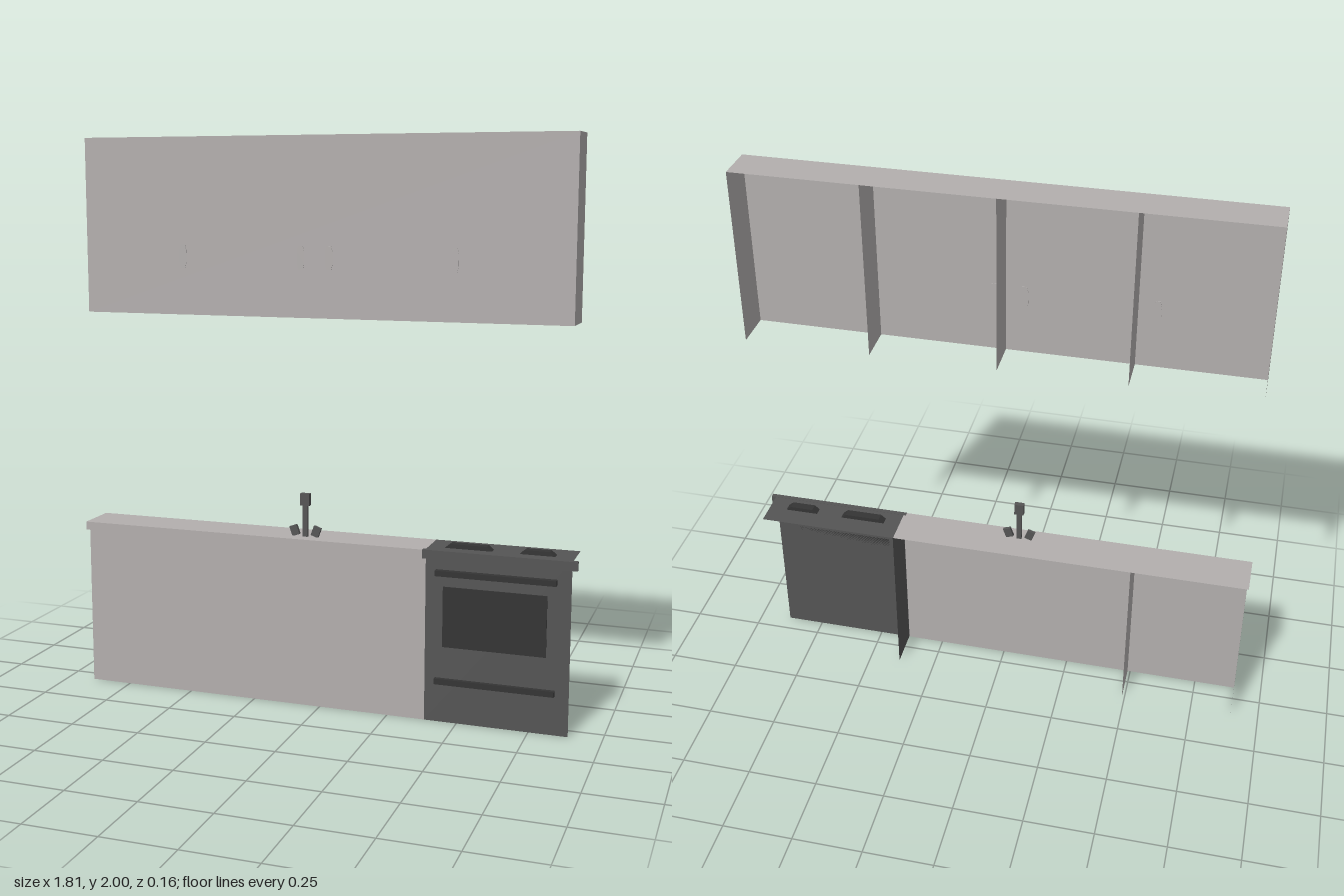
import * as THREE from 'three';

const make = (name, color, side = THREE.DoubleSide) => {
  const m = new THREE.MeshStandardMaterial({ color, side });
  m.name = name;
  return m;
};

export function createModel() {
  const cabinet = make('cabinetGrey', 0xb3afae);
  const steel = make('darkSteel', 0x555555);
  const black = make('ovenBlack', 0x343434);
  const BACK = -0.08, FRONT = 0.06, DEPTH = FRONT - BACK, MID = (FRONT + BACK) / 2;

  const root = new THREE.Group();
  root.name = 'kitchenette';
  const group = (name) => {
    const g = new THREE.Group();
    g.name = name;
    root.add(g);
    return g;
  };
  const add = (parent, name, geo, mat, x = 0, y = 0, z = 0) => {
    const mesh = new THREE.Mesh(geo, mat);
    mesh.name = name;
    mesh.position.set(x, y, z);
    parent.add(mesh);
    return mesh;
  };
  // Sheets: front (facing +z), wall (facing x) and deck (facing y)
  const front = (p, name, mat, x0, x1, y0, y1, z = FRONT) =>
    add(p, name, new THREE.PlaneGeometry(x1 - x0, y1 - y0), mat, (x0 + x1) / 2, (y0 + y1) / 2, z);
  const wall = (p, name, mat, x, y0, y1, z0 = BACK, z1 = FRONT) =>
    add(p, name, new THREE.PlaneGeometry(z1 - z0, y1 - y0).rotateY(Math.PI / 2), mat, x, (y0 + y1) / 2, (z0 + z1) / 2);
  const deck = (p, name, mat, x0, x1, y, z0 = BACK, z1 = FRONT) =>
    add(p, name, new THREE.PlaneGeometry(x1 - x0, z1 - z0).rotateX(-Math.PI / 2), mat, (x0 + x1) / 2, y, (z0 + z1) / 2);
  const box = (p, name, mat, x0, x1, y0, y1, z0, z1) =>
    add(p, name, new THREE.BoxGeometry(x1 - x0, y1 - y0, z1 - z0), mat, (x0 + x1) / 2, (y0 + y1) / 2, (z0 + z1) / 2);
  // Extruded outline, centred in depth
  const plate = (points, depth) => {
    const shape = new THREE.Shape(points.map(([x, y]) => new THREE.Vector2(x, y)));
    return new THREE.ExtrudeGeometry(shape, { depth, bevelEnabled: false }).translate(0, 0, -depth / 2);
  };

  // Wall cabinet: open at the back and underneath, split in four
  const upper = group('wallCabinet');
  front(upper, 'wallCabinetFront', cabinet, -0.88, 0.87, 1.385, 2);
  deck(upper, 'wallCabinetTop', cabinet, -0.88, 0.87, 2);
  for (let i = 0; i < 5; i++) wall(upper, 'wallCabinetPartition', cabinet, -0.88 + i * 0.4375, 1.385, 2);
  const grip = plate([[-0.008, -0.04], [0.008, -0.04], [0.013, -0.02], [0.013, 0.02],
    [0.008, 0.04], [-0.008, 0.04], [-0.013, 0.02], [-0.013, -0.02]], 0.004);
  for (const x of [-0.505, -0.067, 0.035, 0.472]) add(upper, 'doorHandle', grip, cabinet, x, 1.59, FRONT);

  // Base cabinet and worktop with a turned-down edge
  const base = group('baseCabinet');
  front(base, 'baseFront', cabinet, -0.9, 0.385, 0, 0.6);
  for (const x of [-0.9, -0.49]) wall(base, 'basePartition', cabinet, x, 0, 0.609);
  deck(base, 'worktop', cabinet, -0.907, 0.385, 0.61, BACK, 0.075);
  front(base, 'worktopFrontEdge', cabinet, -0.907, 0.385, 0.58, 0.61, 0.075);
  wall(base, 'worktopEndEdge', cabinet, -0.907, 0.58, 0.61, BACK, 0.075);

  // Cooker
  const cooker = group('cooker');
  front(cooker, 'cookerFront', steel, 0.385, 0.885, 0, 0.61);
  wall(cooker, 'cookerSide', steel, 0.386, 0, 0.61);
  deck(cooker, 'hob', steel, 0.385, 0.888, 0.61);
  box(cooker, 'hobFrontEdge', steel, 0.376, 0.905, 0.58, 0.611, FRONT, 0.076);
  box(cooker, 'ovenWindow', black, 0.447, 0.805, 0.27, 0.483, FRONT, 0.064);
  box(cooker, 'ovenHandle', black, 0.422, 0.837, 0.523, 0.542, FRONT, 0.082);
  box(cooker, 'drawerHandle', black, 0.422, 0.837, 0.138, 0.158, FRONT, 0.076);
  for (const [x, r] of [[0.525, 0.082], [0.762, 0.06]]) {
    add(cooker, 'burner', plate([[-r, 0], [r, 0], [r - 0.018, 0.015], [-r + 0.018, 0.015]], 0.03),
      black, x, 0.61, 0.01);
  }

  // Tap with two splayed knobs
  const tap = group('tap');
  tap.position.set(-0.064, 0.61, 0.025);
  box(tap, 'tapStem', steel, -0.009, 0.009, 0, 0.115, -0.006, 0.006);
  box(tap, 'tapHead', steel, -0.017, 0.017, 0.112, 0.155, -0.009, 0.009);
  for (const s of [-1, 1]) {
    const knob = add(tap, 'tapKnob', new THREE.BoxGeometry(0.028, 0.036, 0.012), steel, s * 0.04, 0.02, 0);
    knob.rotation.z = -s * 0.35;
  }
  return root;
}
